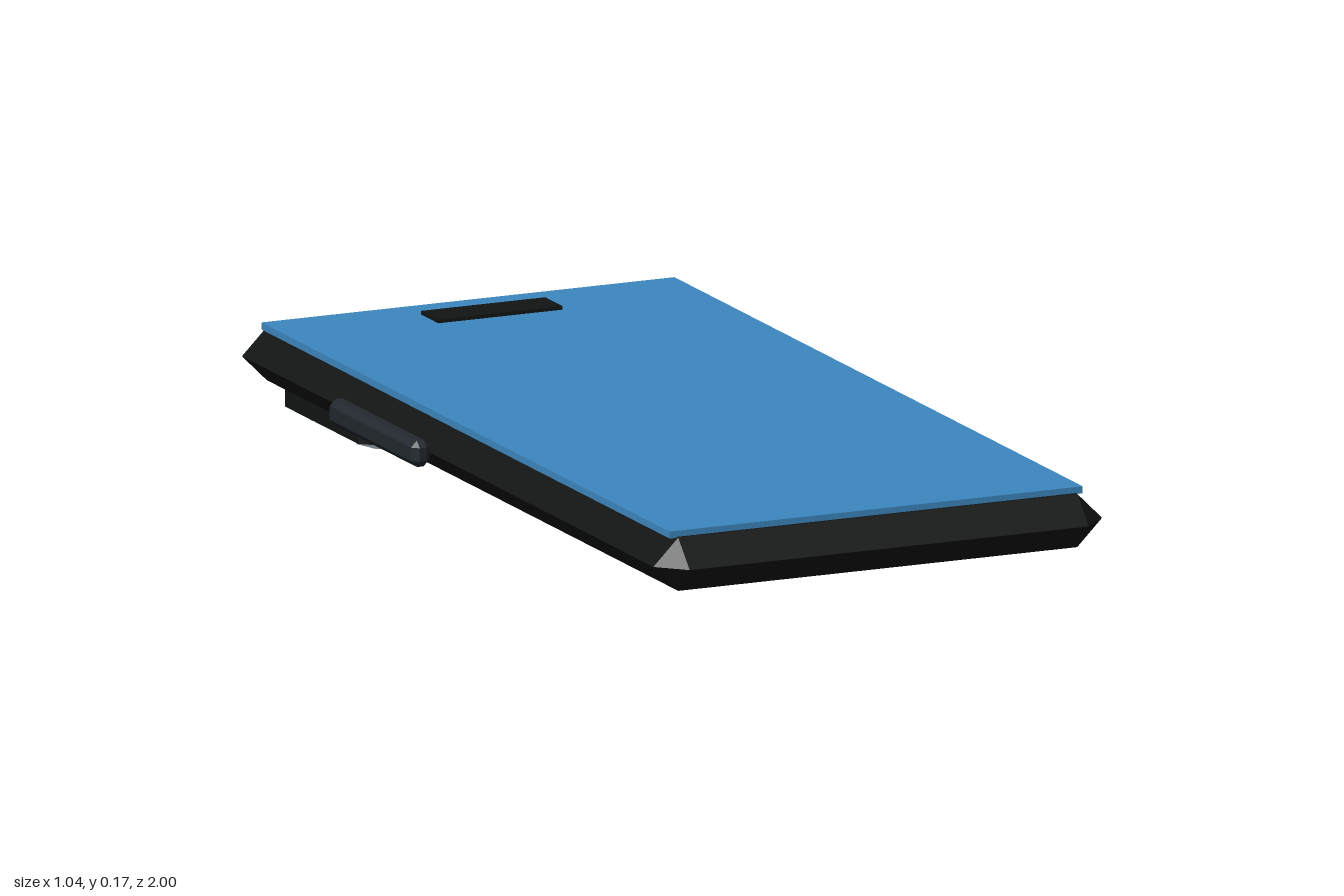
import * as THREE from 'three';
import { ConvexGeometry } from 'three/addons/geometries/ConvexGeometry.js';

// Box whose edges and corners are all cut at 45 degrees by c
function chamferBox(w, h, d, c) {
  const points = [];
  for (const sx of [-1, 1]) for (const sy of [-1, 1]) for (const sz of [-1, 1]) {
    const x = sx * (w / 2 - c), y = sy * (h / 2 - c), z = sz * (d / 2 - c);
    points.push(new THREE.Vector3(x + sx * c, y, z));
    points.push(new THREE.Vector3(x, y + sy * c, z));
    points.push(new THREE.Vector3(x, y, z + sz * c));
  }
  return new ConvexGeometry(points);
}

// Upright slab with its four vertical edges cut by c
function cutCornerSlab(w, h, d, c) {
  const a = w / 2, b = d / 2;
  const outline = [[a, b - c], [a - c, b], [c - a, b], [-a, b - c],
    [-a, c - b], [c - a, -b], [a - c, -b], [a, c - b]];
  const shape = new THREE.Shape(outline.map(([x, y]) => new THREE.Vector2(x, y)));
  return new THREE.ExtrudeGeometry(shape, { depth: h, bevelEnabled: false })
    .translate(0, 0, -h / 2).rotateX(-Math.PI / 2);
}

export function createModel() {
  const phone = new THREE.Group();
  phone.name = 'phone';
  const paint = (color) => new THREE.MeshStandardMaterial({ color, flatShading: true });
  const black = paint(0x121313);
  const dark = paint(0x22282d);
  const blue = paint(0x3d87c0);
  const grey = paint(0x7c8790);

  const add = (name, geometry, material, x, y, z) => {
    const mesh = new THREE.Mesh(geometry, material);
    mesh.name = name;
    mesh.position.set(x, y, z);
    phone.add(mesh);
  };

  // Body, lying on its back
  add('body', chamferBox(0.956, 0.106, 2, 0.053), black, 0, 0.103, 0);

  // Screen and the speaker notch at its far end
  add('screen', new THREE.BoxGeometry(0.88, 0.014, 1.88), blue, 0, 0.161, 0);
  add('notch', new THREE.BoxGeometry(0.265, 0.01, 0.08), black, 0, 0.17, -0.83);

  // Side buttons: two on the left edge, one long one on the right
  const buttons = [
    ['upperLeftButton', 0.498, -0.4, 0.24],
    ['lowerLeftButton', 0.498, 0, 0.24],
    ['rightButton', -0.498, -0.27, 0.4],
  ];
  for (const [name, x, z, length] of buttons) {
    add(name, chamferBox(0.04, 0.053, length, 0.013), dark, x, 0.103, z);
  }

  // Camera bump under the back, with three ten-sided lenses
  add('cameraBump', cutCornerSlab(0.427, 0.044, 0.425, 0.045), black, -0.213, 0.039, -0.692);
  const lens = new THREE.CylinderGeometry(0.08, 0.08, 0.028, 10).rotateY(Math.PI / 2);
  for (const [x, z] of [[-0.107, -0.585], [-0.32, -0.585], [-0.32, -0.8]]) {
    add('cameraLens', lens, grey, x, 0.014, z);
  }

  return phone;
}
